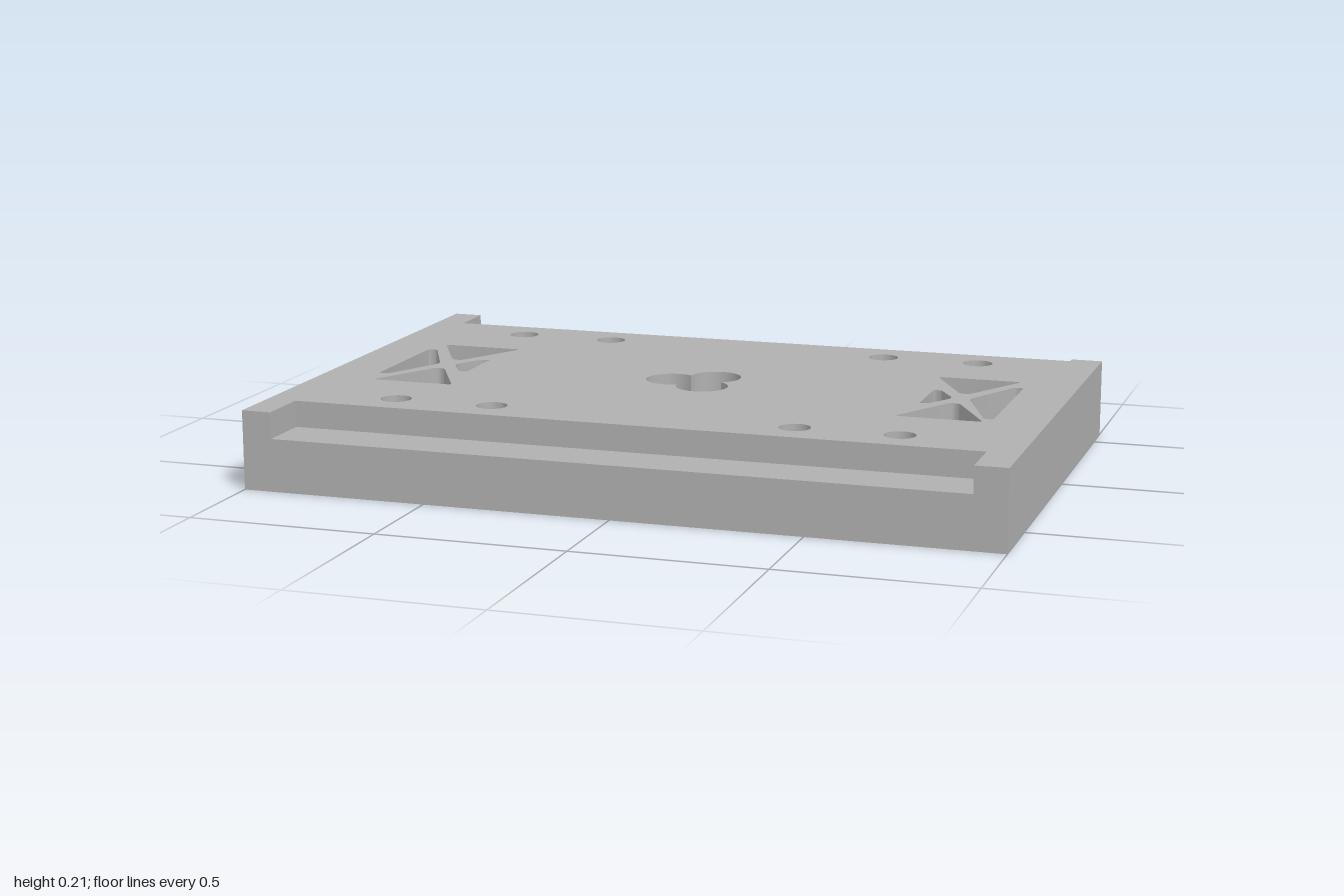
import * as THREE from 'three';
import { mergeGeometries, toCreasedNormals } from 'three/addons/utils/BufferGeometryUtils.js';

const H = 0.21;       // plate height
const LEDGE = 0.14;   // ledge and central recess floor
const BORE = 0.08;    // depth of the underside pockets

// Plan points are (x, -z), so that plan "up" is the back.
const plan = (pairs) => pairs.map(([x, z]) => new THREE.Vector2(x, -z));

// Horizontal face with holes, facing up or down
function cap(outline, holes, y, up = true) {
  const shape = new THREE.Shape(outline);
  shape.holes = holes.map((h) => new THREE.Path(h));
  const g = new THREE.ShapeGeometry(shape);
  g.rotateX(-Math.PI / 2).translate(0, y, 0);
  if (!up) g.index.array.reverse();
  const flat = g.toNonIndexed();
  flat.computeVertexNormals();
  return flat;
}

// Upright wall along a closed loop; a hole faces inwards
function wall(loop, y0, y1, hole = true) {
  const pts = THREE.ShapeUtils.isClockWise(loop) === hole ? loop : [...loop].reverse();
  const pos = [], uv = [];
  pts.forEach((a, i) => {
    const b = pts[(i + 1) % pts.length];
    for (const [p, y] of [[a, y0], [b, y0], [b, y1], [a, y0], [b, y1], [a, y1]]) {
      pos.push(p.x, y, -p.y);
      uv.push(0, 0);
    }
  });
  const g = new THREE.BufferGeometry();
  g.setAttribute('position', new THREE.Float32BufferAttribute(pos, 3));
  g.setAttribute('uv', new THREE.Float32BufferAttribute(uv, 2));
  g.computeVertexNormals();
  return toCreasedNormals(g, 0.5);
}

function arc(cx, cy, r, from, to, n) {
  return Array.from({ length: n + 1 }, (_, i) => {
    const a = from + ((to - from) * i) / n;
    return new THREE.Vector2(cx + r * Math.cos(a), cy + r * Math.sin(a));
  });
}
const circle = (x, z, r) => arc(x, -z, r, 0, Math.PI * 2, 32).slice(0, -1);

// Polygon with softly rounded corners
function rounded(pairs, r = 0.014) {
  const p = plan(pairs), out = [];
  p.forEach((c, i) => {
    const toward = (q) => c.clone().add(q.clone().sub(c).setLength(r));
    const a = toward(p.at(i - 1)), b = toward(p[(i + 1) % p.length]);
    out.push(...new THREE.QuadraticBezierCurve(a, c, b).getPoints(4));
  });
  return out;
}

export function createModel() {
  const grey = new THREE.MeshStandardMaterial({ color: 0xb0b0b0 });
  grey.name = 'plain grey';
  const model = new THREE.Group();
  const add = (name, parts) => {
    const mesh = new THREE.Mesh(mergeGeometries(parts), grey);
    mesh.name = name;
    model.add(mesh);
  };

  // Outlines: the base has a cut corner, the upper layer also has two long notches
  const base = plan([[-1, 0.705], [1, 0.705], [1, -0.595], [0.525, -0.595], [0.525, -0.705], [-1, -0.705]]);
  const upper = plan([
    [-1, 0.705], [-0.92, 0.705], [-0.92, 0.56], [0.915, 0.56], [0.915, 0.705], [1, 0.705],
    [1, -0.595], [0.915, -0.595], [0.915, -0.57], [-0.92, -0.57], [-0.92, -0.705], [-1, -0.705],
  ]);
  const frontLedge = plan([[-0.92, 0.705], [0.915, 0.705], [0.915, 0.56], [-0.92, 0.56]]);
  const backLedge = plan([
    [-0.92, -0.57], [0.915, -0.57], [0.915, -0.595], [0.525, -0.595], [0.525, -0.705], [-0.92, -0.705],
  ]);

  // Cross-braced windows on both sides
  const windows = [];
  for (const s of [-1, 1]) {
    for (const t of [-1, 1]) {
      windows.push(rounded([[s * 0.61, t * 0.25], [s * 0.84, t * 0.25], [s * 0.738, t * 0.06], [s * 0.712, t * 0.06]]));
    }
    const end = s > 0 ? 0.215 : 0.17;
    windows.push(rounded([[s * 0.86, -0.175], [s * 0.86, end], [s * 0.835, end], [s * 0.755, 0.01], [s * 0.755, -0.01], [s * 0.835, -0.175]], 0.008));
    windows.push(rounded([[s * 0.637, -0.085], [s * 0.637, 0.085], [s * 0.66, 0.08], [s * 0.702, 0.01], [s * 0.702, -0.01], [s * 0.66, -0.08]], 0.008));
  }

  // Bolt holes, wider from below
  const bolts = [], bores = [];
  for (const x of [-0.68, -0.41, 0.405, 0.675]) {
    for (const z of [-0.46, 0.455]) {
      bolts.push(circle(x, z, 0.041));
      bores.push(circle(x, z, 0.065));
    }
  }

  // Central three-lobed recess, its through holes and the arc pockets below
  const lobes = [], centreHoles = [], pockets = [];
  for (let i = 0; i < 3; i++) {
    const a = Math.PI / 3 + (i * Math.PI * 2) / 3, third = (Math.PI * 2) / 3;
    const x = 0.07 * Math.cos(a), y = 0.07 * Math.sin(a);
    lobes.push(...arc(x, y, 0.07, a - third, a + third, 20).slice(0, -1));
    centreHoles.push(circle(x, -y, 0.04));
    const m = a + Math.PI / 3;
    pockets.push([...arc(0, 0, 0.14, m - 0.58, m + 0.58, 12), ...arc(0, 0, 0.1, m + 0.58, m - 0.58, 12)]);
  }

  add('plateSides', [wall(base, 0, LEDGE, false), wall(upper, LEDGE, H, false)]);
  add('plateTop', [cap(upper, [...windows, ...bolts, lobes], H)]);
  add('plateUnderside', [cap(base, [...windows, ...bores, ...centreHoles, ...pockets], 0, false)]);
  add('ledges', [cap(frontLedge, [], LEDGE), cap(backLedge, [], LEDGE)]);
  add('windowWalls', windows.map((w) => wall(w, 0, H)));
  add('boltHoles', [
    ...bolts.map((b) => wall(b, BORE, H)),
    ...bores.map((b) => wall(b, 0, BORE)),
    ...bores.map((b, i) => cap(b, [bolts[i]], BORE, false)),
  ]);
  add('centreRecess', [
    wall(lobes, LEDGE, H), cap(lobes, centreHoles, LEDGE),
    ...centreHoles.map((h) => wall(h, 0, LEDGE)),
  ]);
  add('undersidePockets', pockets.flatMap((p) => [wall(p, 0, BORE), cap(p, [], BORE, false)]));
  return model;
}
